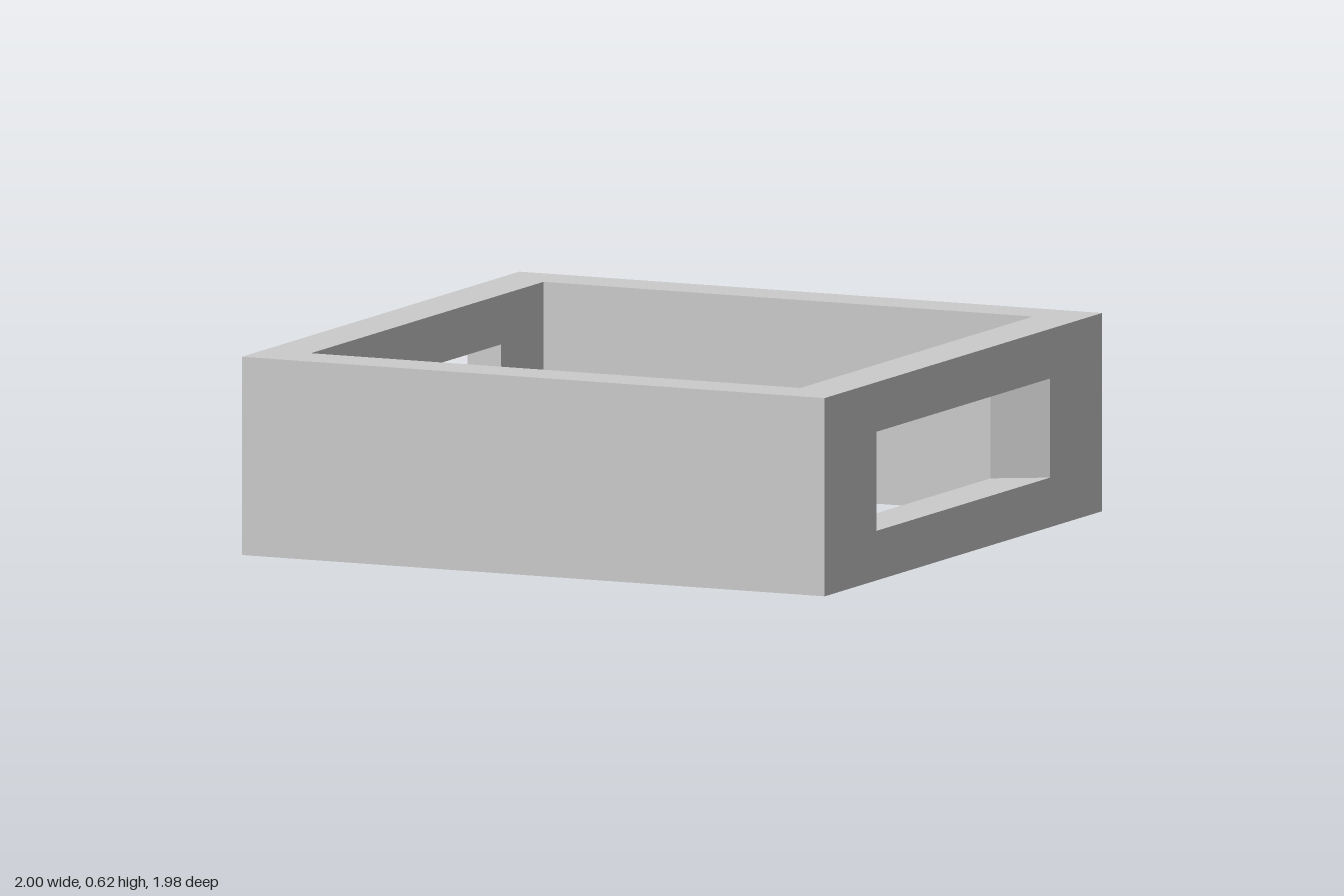
import * as THREE from 'three';

const HEIGHT = 0.62;
const material = new THREE.MeshStandardMaterial({ color: 0xcccccc, flatShading: true });
const near = (a, b) => Math.abs(a - b) < 1e-3;

// A mitred wall whose outer face lies at z = distance. Openings narrow towards the inside.
function makeWall(name, { outer, inner, distance, thickness, window, notch }, angle) {
  const shape = new THREE.Shape();
  shape.moveTo(-outer, 0);
  if (notch) {
    shape.lineTo(-notch.outer, 0);
    shape.lineTo(-notch.outer, notch.top);
    shape.lineTo(notch.outer, notch.top);
    shape.lineTo(notch.outer, 0);
  }
  shape.lineTo(outer, 0);
  shape.lineTo(outer, HEIGHT);
  shape.lineTo(-outer, HEIGHT);
  shape.closePath();
  if (window) {
    const { outer: w, bottom, top } = window;
    shape.holes.push(new THREE.Path([[-w, bottom], [-w, top], [w, top], [w, bottom]]
      .map(([x, y]) => new THREE.Vector2(x, y))));
  }
  const source = new THREE.ExtrudeGeometry(shape, { depth: thickness, bevelEnabled: false });

  // Pull in the inside edges of the mitres and openings, and leave out the hidden mitre faces
  const pos = source.attributes.position;
  const tapers = [{ outer, inner }, window, notch].filter(Boolean);
  const kept = [];
  for (let i = 0; i < pos.count; i += 3) {
    const ids = [i, i + 1, i + 2];
    if ([1, -1].some(s => ids.every(k => near(pos.getX(k), s * outer)))) continue;
    for (const k of ids) {
      let x = pos.getX(k);
      const taper = tapers.find(t => near(Math.abs(x), t.outer));
      if (taper && pos.getZ(k) < thickness / 2) x = Math.sign(x) * taper.inner;
      kept.push(x, pos.getY(k), pos.getZ(k) + distance - thickness);
    }
  }
  const geometry = new THREE.BufferGeometry();
  geometry.setAttribute('position', new THREE.Float32BufferAttribute(kept, 3));
  geometry.computeVertexNormals();

  const mesh = new THREE.Mesh(geometry, material);
  mesh.name = name;
  mesh.rotation.y = angle;
  return mesh;
}

export function createModel() {
  const group = new THREE.Group();
  group.name = 'openFrame';

  const across = { outer: 1, inner: 0.84, distance: 0.99, thickness: 0.16 };
  const side = {
    outer: 0.99, inner: 0.83, distance: 1, thickness: 0.16,
    window: { outer: 0.62, inner: 0.525, bottom: 0.155, top: 0.465 },
  };
  const notch = { outer: 0.25, inner: 0.21, top: 0.31 };

  group.add(
    makeWall('frontWall', across, 0),
    makeWall('backWall', { ...across, notch }, Math.PI),
    makeWall('leftWall', side, Math.PI / 2),
    makeWall('rightWall', side, -Math.PI / 2),
  );
  return group;
}
